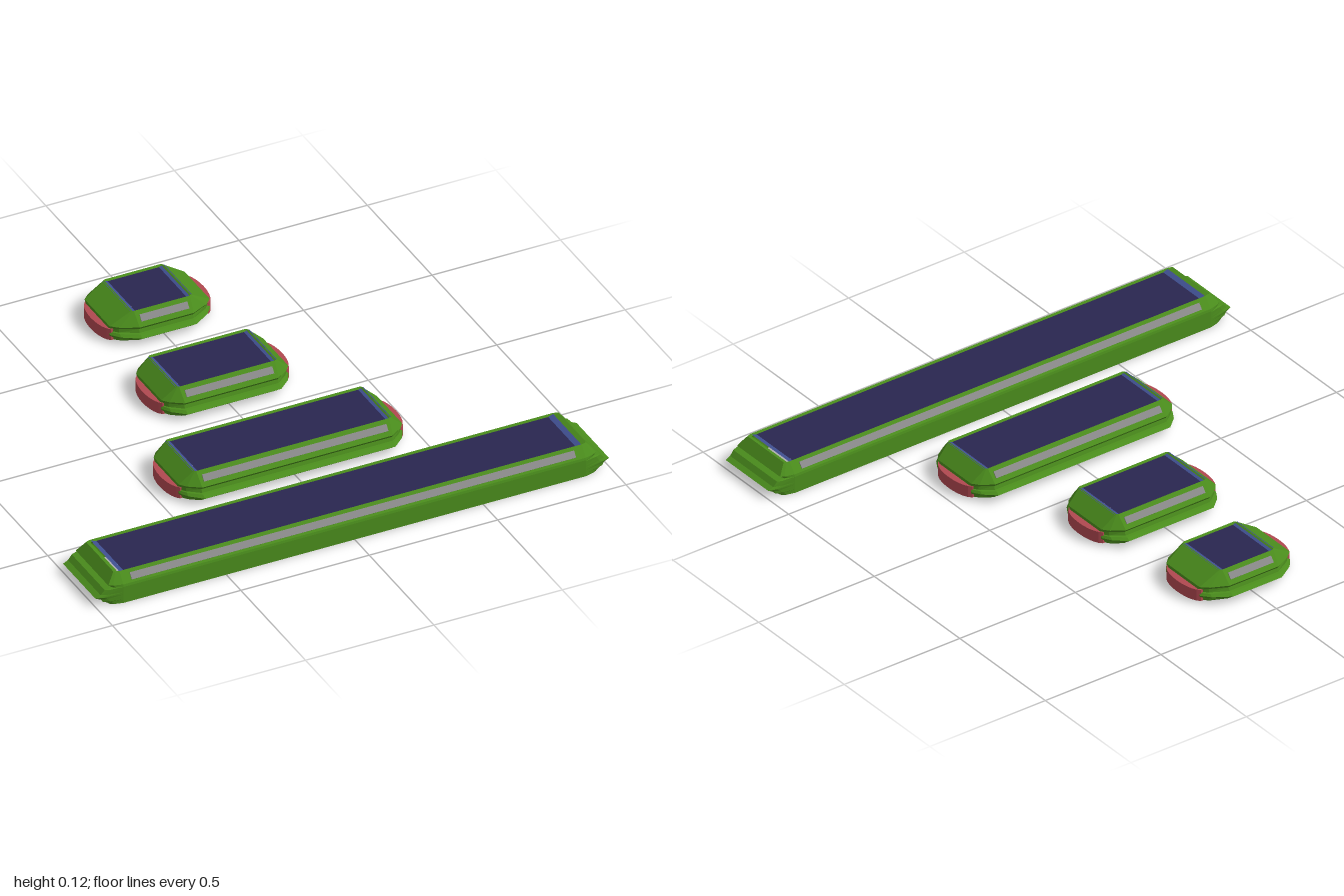
import * as THREE from 'three';

const mat = (color) => new THREE.MeshStandardMaterial({ color, flatShading: true, side: THREE.DoubleSide });
const GREEN = mat(0x4a8c1c), NAVY = mat(0x2a2650), BLUE = mat(0x3f4f90), RED = mat(0xb04850), GREY = mat(0x888888);

function part(name, geometry, material, parent) {
  const mesh = new THREE.Mesh(geometry, material);
  mesh.name = name;
  parent.add(mesh);
  return mesh;
}

// Rounded-end outline: a = straight half length, w = full half length,
// d = half depth, e = share of the depth left at the very end
function outline([y, a, w, d, e]) {
  const quarter = [[a, d], [a + 0.7 * (w - a), d * (e + 0.45 * (1 - e))], [w, d * e]];
  const back = quarter.map(([x, z]) => [x, -z]).reverse();
  const right = [...quarter, ...back];
  const left = right.map(([x, z]) => [-x, -z]);
  return [...right, ...left].map(([x, z]) => [x, y, z]);
}

// Open shell through a stack of outlines, bottom to top
function loft(rings) {
  const pos = [];
  const loops = rings.map(outline);
  for (let i = 0; i < loops.length - 1; i++) {
    const lo = loops[i], hi = loops[i + 1], n = lo.length;
    for (let j = 0; j < n; j++) {
      const k = (j + 1) % n;
      pos.push(...lo[j], ...lo[k], ...hi[k], ...lo[j], ...hi[k], ...hi[j]);
    }
  }
  const g = new THREE.BufferGeometry();
  g.setAttribute('position', new THREE.Float32BufferAttribute(pos, 3));
  g.computeVertexNormals();
  return g;
}

// Dark top panel with narrow sloping ends
function addPanel(group, halfX, y, halfZ) {
  const panel = part('topPanel', new THREE.PlaneGeometry(2 * halfX, 2 * halfZ), NAVY, group);
  panel.rotation.x = -Math.PI / 2;
  panel.position.y = y;
  for (const s of [-1, 1]) {
    const edge = part('panelEnd', new THREE.PlaneGeometry(0.021, 2 * halfZ), BLUE, group);
    edge.rotation.set(-Math.PI / 2, -s * 0.3, 0);
    edge.position.set(s * (halfX + 0.01), y + 0.003, 0);
  }
}

// Grey strips let into the front and back slopes
function addStrips(group, halfX, [y0, z0], [y1, z1]) {
  const tilt = Math.atan2(z0 - z1, y1 - y0);
  for (const s of [-1, 1]) {
    const strip = part('slopeStrip', new THREE.BoxGeometry(2 * halfX, 0.026, 0.005), GREY, group);
    strip.position.set(0, (y0 + y1) / 2 + 0.001, s * (z0 + z1) / 2);
    strip.rotation.x = -s * tilt;
  }
}

// Bulging red bumper on each end
function addBumpers(group, w) {
  const shape = new THREE.Shape();
  shape.moveTo(-0.012, -0.1);
  shape.lineTo(0, -0.1);
  shape.bezierCurveTo(0.04, -0.07, 0.04, 0.07, 0, 0.1);
  shape.lineTo(-0.012, 0.1);
  for (const s of [-1, 1]) {
    const g = new THREE.ExtrudeGeometry(shape, { depth: 0.045, bevelEnabled: false, curveSegments: 10 });
    g.rotateX(-Math.PI / 2);
    if (s < 0) g.rotateY(Math.PI);
    const bumper = part('endBumper', g, RED, group);
    bumper.position.set(s * w, 0.01, 0);
  }
}

// Short module: a = half length of the flat top, w = half length of the body
function shortModule(name, z, a, w) {
  const group = new THREE.Group();
  group.name = name;
  group.position.z = z;
  const e = 0.58;
  part('shell', loft([
    [0, a, w - 0.02, 0.125, e + 0.1],
    [0.01, a, w - 0.012, 0.132, e + 0.08],
    [0.012, a, w - 0.005, 0.145, e + 0.05],
    [0.022, a, w, 0.15, e],
    [0.024, a, w, 0.16, e],
    [0.033, a, w, 0.173, e],
    [0.042, a, w, 0.16, e],
    [0.044, a, w, 0.15, e],
    [0.058, a, w, 0.146, e + 0.03],
    [0.067, a, w, 0.152, e + 0.06],
    [0.115, a + 0.004, a + 0.01, 0.113, 0.95],
    [0.108, a, a + 0.002, 0.107, 0.99],
  ]), GREEN, group);
  addPanel(group, a - 0.005, 0.108, 0.107);
  addStrips(group, a - 0.012, [0.067, 0.152], [0.115, 0.113]);
  addBumpers(group, w - 0.004);
  return group;
}

// Long module with flat sides and pointed, ribbed ends
function longModule(name, z) {
  const group = new THREE.Group();
  group.name = name;
  group.position.z = z;
  part('shell', loft([
    [0, 0.9, 0.945, 0.145, 0.9],
    [0.012, 0.9, 0.962, 0.145, 0.88],
    [0.015, 0.9, 0.972, 0.145, 0.88],
    [0.026, 0.9, 0.98, 0.145, 0.87],
    [0.035, 0.9, 1.0, 0.145, 0.86],
    [0.044, 0.9, 0.98, 0.145, 0.87],
    [0.062, 0.9, 0.965, 0.145, 0.88],
    [0.066, 0.9, 0.935, 0.145, 0.9],
    [0.075, 0.9, 0.95, 0.143, 0.88],
    [0.113, 0.9, 0.92, 0.112, 0.94],
    [0.105, 0.897, 0.902, 0.107, 0.99],
  ]), GREEN, group);
  addPanel(group, 0.88, 0.105, 0.108);
  addStrips(group, 0.865, [0.07, 0.147], [0.113, 0.112]);
  return group;
}

export function createModel() {
  const model = new THREE.Group();
  model.name = 'moduleSet';
  model.add(
    shortModule('smallModule', -0.717, 0.105, 0.195),
    shortModule('mediumModule', -0.214, 0.182, 0.247),
    shortModule('largeModule', 0.294, 0.371, 0.435),
    longModule('longModule', 0.743),
  );
  return model;
}
